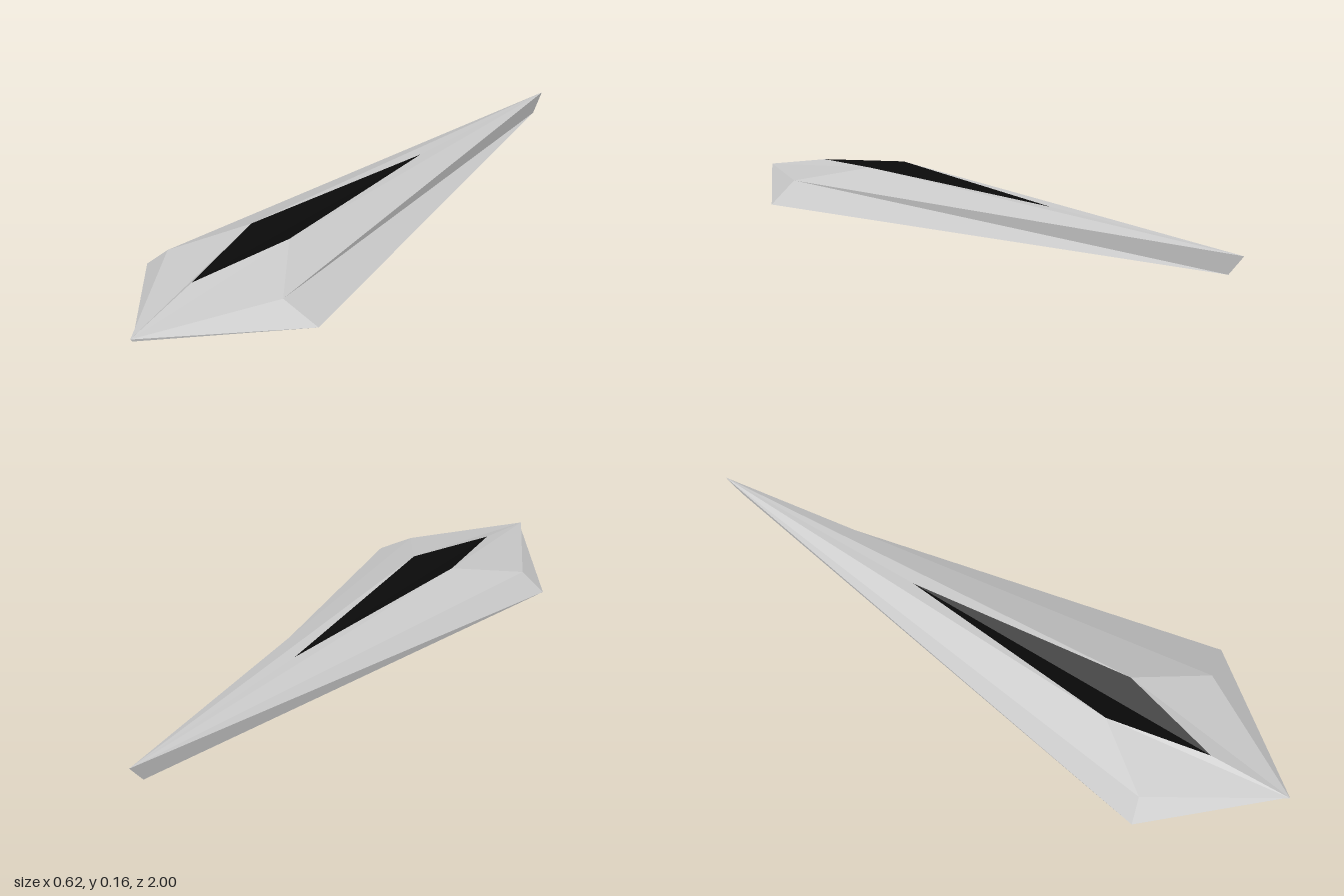
import * as THREE from 'three';

const steel = new THREE.MeshStandardMaterial({ color: 0xc8c8c8, flatShading: true });
steel.name = 'pale grey';
const dark = new THREE.MeshStandardMaterial({ color: 0x0a0a0a, flatShading: true });
dark.name = 'black';

// Corners of the blade, u = upper, l = lower
const P = {
  uTail: [-0.027, 0.11, -1], uLeft: [-0.24, 0.11, 0.62], uTip: [-0.004, 0.085, 1], uRight: [0.2, 0.11, 0.62],
  lTail: [-0.027, 0.05, -0.95], lLeft: [-0.308, 0.05, 0.64], lTip: [-0.002, 0.077, 0.995], lRight: [0.308, 0.05, 0.6],
};
// Diamond inlay corners, alike on both faces
for (const [s, low, high] of [['u', 0.133, 0.16], ['l', 0.028, 0]]) {
  P[s + 'Back'] = [-0.027, low, -0.3];
  P[s + 'RidgeL'] = [-0.097, high, 0.42];
  P[s + 'RidgeR'] = [0.05, high, 0.42];
  P[s + 'Front'] = [-0.027, low, 0.74];
}

// Flat-faced mesh from triangles of named corners
function facets(name, tris, material) {
  const g = new THREE.BufferGeometry();
  const pos = tris.flatMap(t => t.flatMap(k => P[k]));
  g.setAttribute('position', new THREE.Float32BufferAttribute(pos, 3));
  g.computeVertexNormals();
  const mesh = new THREE.Mesh(g, material);
  mesh.name = name;
  return mesh;
}

// Prefix corners with a side; the lower side is wound the other way
const onSide = (s, tris) => tris.map(t => {
  const named = t.map(k => s + k);
  return s === 'u' ? named : named.reverse();
});

const FACE = [
  ['Tail', 'RidgeL', 'Back'], ['Tail', 'Left', 'RidgeL'], ['Left', 'Tip', 'RidgeL'], ['RidgeL', 'Tip', 'Front'],
  ['Tip', 'Right', 'RidgeR'], ['Tip', 'RidgeR', 'Front'], ['Right', 'Tail', 'RidgeR'], ['Tail', 'Back', 'RidgeR'],
];
const INLAY = [['Back', 'RidgeL', 'Front'], ['Back', 'Front', 'RidgeR']];
const RIM = [
  ['uTail', 'lTail', 'lLeft'], ['uTail', 'lLeft', 'uLeft'],
  ['uLeft', 'lLeft', 'lTip'], ['uLeft', 'lTip', 'uTip'],
  ['uTip', 'lTip', 'lRight'], ['uTip', 'lRight', 'uRight'],
  ['uRight', 'lRight', 'lTail'], ['uRight', 'lTail', 'uTail'],
];

export function createModel() {
  const model = new THREE.Group();
  model.name = 'blade';
  // Broad faces with their folded diamond inlays
  for (const [s, label] of [['u', 'upper'], ['l', 'lower']]) {
    model.add(facets(label + 'Face', onSide(s, FACE), steel));
    model.add(facets(label + 'Inlay', onSide(s, INLAY), dark));
  }
  // Bevelled rim joining the two faces
  model.add(facets('rim', RIM, steel));
  return model;
}
